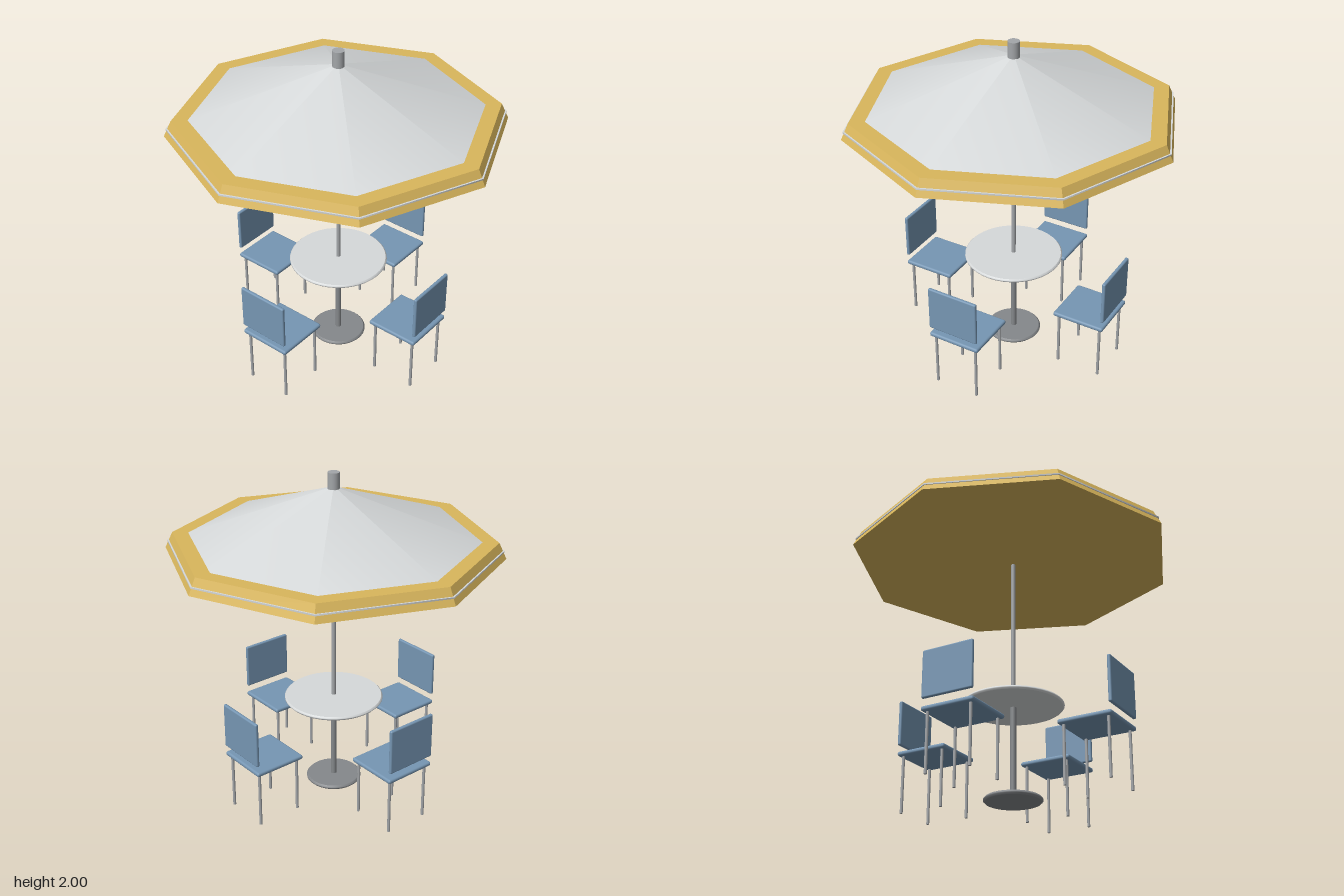
import * as THREE from 'three';
import { RoundedBoxGeometry } from 'three/addons/geometries/RoundedBoxGeometry.js';

const paint = (name, color, flatShading = false) => {
  const m = new THREE.MeshStandardMaterial({ color, flatShading });
  m.name = name;
  return m;
};

export function createModel() {
  const yellow = paint('canopy yellow', 0xd9b65c, true);
  const lightGrey = paint('light grey', 0xd6d9da);
  const steel = paint('steel grey', 0xa3a6a9);
  const darkSteel = paint('dark steel', 0x85888b);
  const blue = paint('chair blue', 0x7696b3);

  const model = new THREE.Group();
  model.name = 'parasolTableSet';

  const add = (parent, name, geometry, material, x = 0, y = 0, z = 0) => {
    const mesh = new THREE.Mesh(geometry, material);
    mesh.name = name;
    mesh.position.set(x, y, z);
    parent.add(mesh);
    return mesh;
  };
  // Upright cylinder or frustum between two heights
  const post = (parent, name, rTop, rBottom, y0, y1, sides, material, x = 0, z = 0) =>
    add(parent, name, new THREE.CylinderGeometry(rTop, rBottom, y1 - y0, sides), material, x, (y0 + y1) / 2, z);
  // Round disc with a softened rim
  const disc = (name, r, y0, y1, material) => {
    const h = y1 - y0, b = h * 0.35;
    const rim = [[r - b, 0], [r, b], [r, h - b], [r - b, h]].map(([x, y]) => new THREE.Vector2(x, y));
    const group = new THREE.Group();
    group.name = name;
    group.position.y = y0;
    model.add(group);
    add(group, name + 'Rim', new THREE.LatheGeometry(rim, 40), material);
    add(group, name + 'Top', new THREE.CircleGeometry(r - b, 40), material, 0, h).rotation.x = -Math.PI / 2;
    add(group, name + 'Underside', new THREE.CircleGeometry(r - b, 40), material).rotation.x = Math.PI / 2;
  };

  // Stand and table
  disc('base', 0.17, 0, 0.025, darkSteel);
  post(model, 'tablePost', 0.018, 0.018, 0.02, 0.572, 16, darkSteel);
  disc('tableTop', 0.3, 0.568, 0.59, lightGrey);
  post(model, 'pole', 0.013, 0.013, 0.57, 1.92, 16, steel);

  // Eight-sided parasol, corners on the axes
  const parasol = new THREE.Group();
  parasol.name = 'parasol';
  model.add(parasol);
  post(parasol, 'valance', 0.945, 0.99, 1.515, 1.61, 8, yellow);
  post(parasol, 'valanceStripe', 0.977, 0.977, 1.554, 1.563, 8, lightGrey);
  add(parasol, 'canopy', new THREE.ConeGeometry(0.85, 0.307, 8, 1, true), lightGrey, 0, 1.61 + 0.1535, 0);
  post(parasol, 'finial', 0.035, 0.035, 1.9, 2, 20, steel);

  // Four chairs on the diagonals, facing the table
  for (let i = 0; i < 4; i++) {
    const chair = new THREE.Group();
    chair.name = 'chair' + (i + 1);
    chair.rotation.y = Math.PI / 4 + i * Math.PI / 2;
    model.add(chair);
    const r = 0.535;
    add(chair, 'seat', new RoundedBoxGeometry(0.33, 0.028, 0.33, 3, 0.0125), blue, 0, 0.359, r);
    add(chair, 'backrest', new RoundedBoxGeometry(0.322, 0.28, 0.022, 3, 0.009), blue, 0, 0.555, 0.693);
    for (const sx of [-1, 1]) for (const sz of [-1, 1])
      post(chair, 'leg', 0.009, 0.009, 0, 0.355, 10, steel, sx * 0.136, r + sz * 0.136);
  }
  return model;
}
